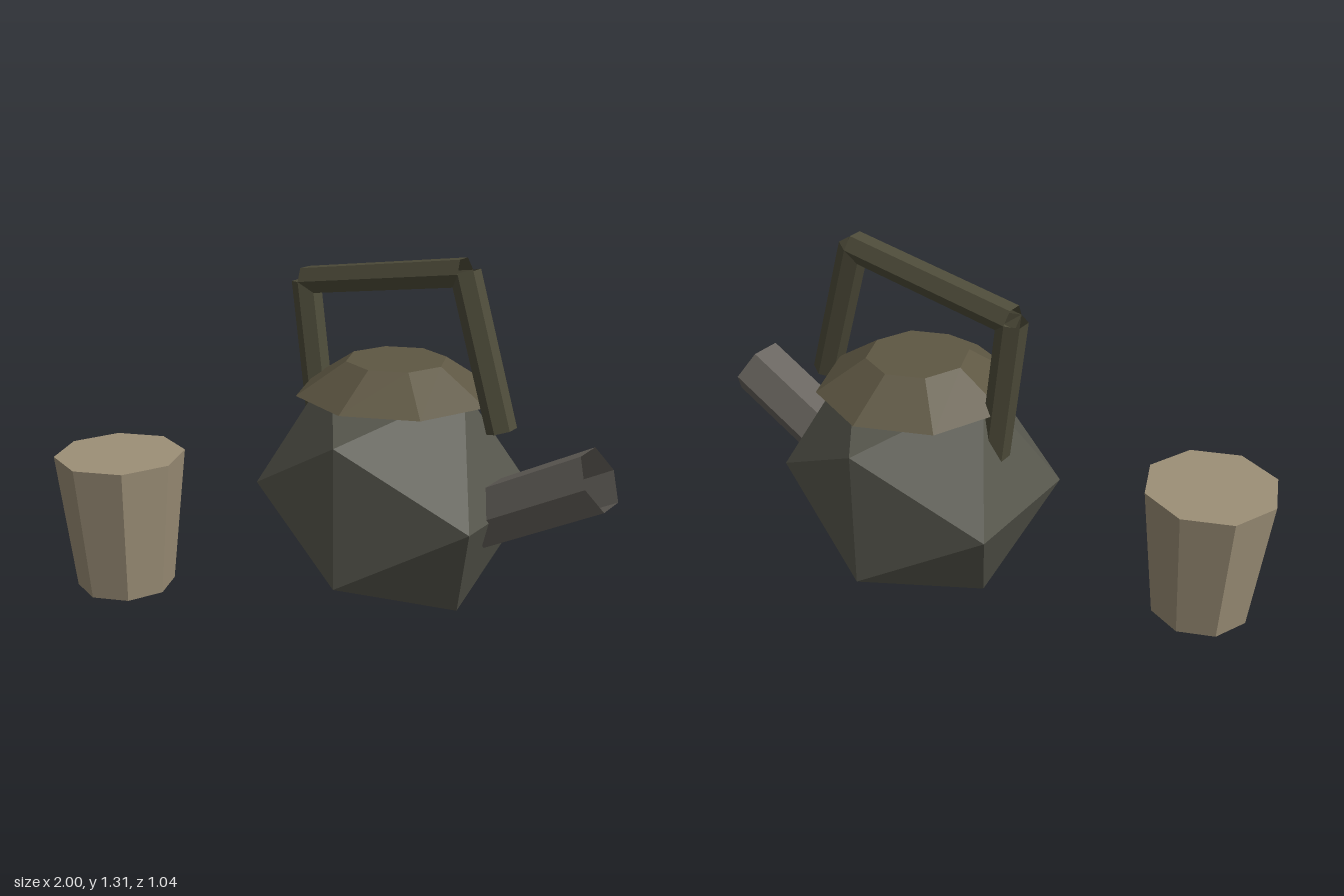
import * as THREE from 'three';

const Z = -0.138; // depth of the kettle's centre plane

function material(color, side = THREE.FrontSide) {
  return new THREE.MeshStandardMaterial({ color, flatShading: true, side });
}

function add(parent, name, geometry, mat, x, y, z) {
  const mesh = new THREE.Mesh(geometry, mat);
  mesh.name = name;
  mesh.position.set(x, y, z);
  parent.add(mesh);
  return mesh;
}

// Open six-sided tube in the kettle's centre plane, with corners towards +z and -z
function hexTube(parent, name, [x0, y0], [x1, y1], radius, mat) {
  const dx = x1 - x0, dy = y1 - y0;
  const geometry = new THREE.CylinderGeometry(radius, radius, Math.hypot(dx, dy), 6, 1, true);
  const tube = add(parent, name, geometry, mat, (x0 + x1) / 2, (y0 + y1) / 2, Z);
  tube.rotation.z = Math.atan2(dy, dx) - Math.PI / 2;
  return tube;
}

export function createModel() {
  const model = new THREE.Group();
  model.name = 'teaSet';

  const kettle = new THREE.Group();
  kettle.name = 'kettle';
  model.add(kettle);

  // Faceted body resting on one edge
  const body = new THREE.IcosahedronGeometry(1, 0).scale(0.514, 0.483, 0.45);
  add(kettle, 'body', body, material(0x58584e), 0.177, 0.455, Z);

  // Eight-sided lid
  add(kettle, 'lid', new THREE.CylinderGeometry(0.178, 0.353, 0.115, 8),
    material(0x5e5743), 0.178, 0.873, Z);

  // Open spout
  hexTube(kettle, 'spout', [0.529, 0.425], [0.95, 0.65], 0.112,
    material(0x66625c, THREE.DoubleSide));

  // Handle of three bars
  const handle = new THREE.Group();
  handle.name = 'handle';
  kettle.add(handle);
  const handleMat = material(0x4e4c3a, THREE.DoubleSide);
  const points = [[-0.14, 0.64], [-0.206, 1.163], [0.437, 1.263], [0.594, 0.746]];
  ['handleRearBar', 'handleGrip', 'handleFrontBar'].forEach((name, i) =>
    hexTube(handle, name, points[i], points[i + 1], 0.052, handleMat));

  // Tapered eight-sided cup
  add(model, 'cup', new THREE.CylinderGeometry(0.24, 0.182, 0.517, 8),
    material(0x9c8f77), -0.76, 0.2585, 0.28);

  return model;
}
